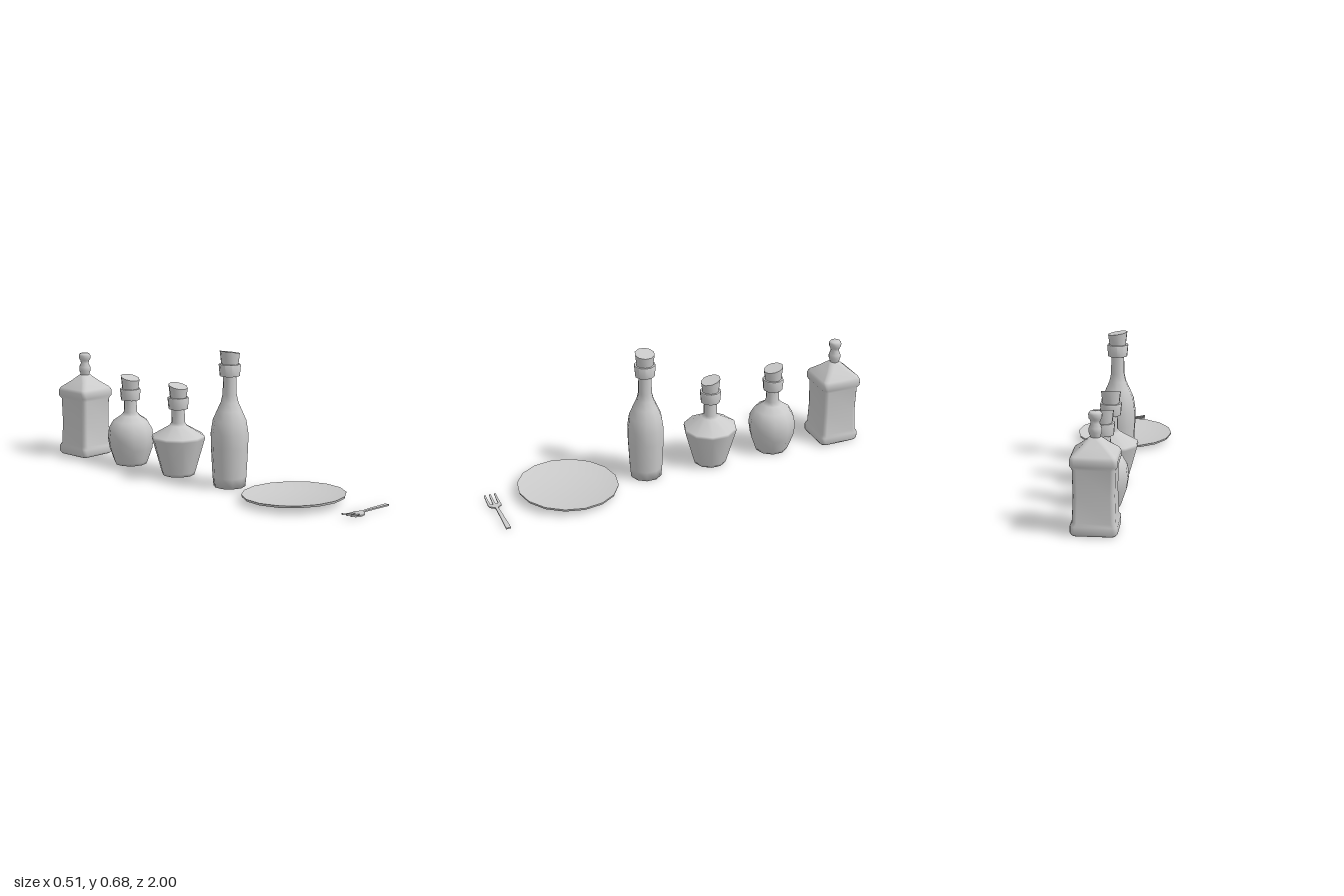
import * as THREE from 'three';
import { mergeVertices, toCreasedNormals } from 'three/addons/utils/BufferGeometryUtils.js';

const grey = new THREE.MeshStandardMaterial({ color: 0xcccccc });

function mesh(name, geometry) {
  const m = new THREE.Mesh(geometry, grey);
  m.name = name;
  return m;
}

// Profile points are [radius, height], from the bottom up.
function lathe(profile, sides = 10) {
  return new THREE.LatheGeometry(profile.map(([r, y]) => new THREE.Vector2(r, y)), sides);
}

// Round bottle with a collar and a cork whose top is cut at a slant.
function corkedBottle(name, z, profile, collarY, slantX, slantZ) {
  const bottle = new THREE.Group();
  bottle.name = name;
  bottle.position.z = z;
  bottle.add(mesh('glassBody', lathe([[0, 0], ...profile, [0.033, collarY + 0.01]])));

  const collar = lathe([[0.03, 0], [0.05, 0], [0.055, 0.055], [0.053, 0.059], [0.036, 0.059]]);
  collar.translate(0, collarY, 0);
  bottle.add(mesh('collar', toCreasedNormals(collar, 0.8)));

  const cork = lathe([[0.039, 0.03], [0.05, 0.118], [0, 0.118]]);
  const p = cork.attributes.position;
  for (let i = 0; i < p.count; i++) {
    if (p.getY(i) > 0.1) p.setY(i, p.getY(i) + p.getX(i) * slantX + p.getZ(i) * slantZ);
  }
  cork.translate(0, collarY, 0);
  bottle.add(mesh('cork', toCreasedNormals(cork, 0.8)));
  return bottle;
}

// Lathe whose rings become rounded squares; the radius is the half width.
function squareLathe(profile) {
  const geo = lathe(profile, 16);
  const p = geo.attributes.position;
  for (let i = 0; i < p.count; i++) {
    const step = Math.floor(i / profile.length) % 16;
    const half = profile[i % profile.length][0];
    const round = Math.min(half, 0.022);
    const quarter = Math.floor(step / 4) * Math.PI / 2;
    const a = quarter + (step % 4) / 3 * Math.PI / 2;
    const d = (half - round) * Math.SQRT2;
    const c = quarter + Math.PI / 4;
    p.setX(i, d * Math.sin(c) + round * Math.sin(a));
    p.setZ(i, d * Math.cos(c) + round * Math.cos(a));
  }
  geo.deleteAttribute('normal');
  geo.deleteAttribute('uv');
  const merged = mergeVertices(geo);
  merged.computeVertexNormals();
  return merged;
}

function decanter() {
  const g = new THREE.Group();
  g.name = 'squareDecanter';
  g.position.z = -0.892;
  g.add(mesh('squareBody', squareLathe([
    [0, 0], [0.098, 0], [0.107, 0.012], [0.107, 0.045], [0.098, 0.06], [0.094, 0.18],
    [0.097, 0.305], [0.107, 0.322], [0.108, 0.35], [0.1, 0.366], [0.06, 0.4], [0.026, 0.434], [0, 0.436],
  ])));
  g.add(mesh('stopper', lathe([
    [0.022, 0.42], [0.024, 0.438], [0.031, 0.458], [0.03, 0.477], [0.021, 0.497],
    [0.024, 0.512], [0.031, 0.522], [0.032, 0.54], [0.026, 0.55], [0, 0.552],
  ])));
  return g;
}

function plate() {
  const geo = lathe([[0, 0], [0.165, 0], [0.25, 0.02], [0.253, 0.031], [0.155, 0.013], [0, 0.013]], 16);
  const m = mesh('plate', toCreasedNormals(geo, 0.4));
  m.position.set(0, 0.005, 0.587);
  m.rotation.x = -0.03;
  return m;
}

// Height of the fork's underside along its length.
const forkCurve = new THREE.SplineCurve([
  [-0.08, 0.013], [-0.045, 0.005], [-0.005, 0.001], [0.04, 0.005], [0.1, 0.005], [0.23, 0.001],
].map(([x, y]) => new THREE.Vector2(x, y)));

function forkHeight(x) {
  let lo = 0, hi = 1;
  for (let i = 0; i < 20; i++) {
    const mid = (lo + hi) / 2;
    if (forkCurve.getPoint(mid).x < x) lo = mid; else hi = mid;
  }
  return forkCurve.getPoint(lo).y;
}

// Thin tapered bar that follows the fork's curve.
function forkBar(name, x0, x1, z, w0, w1) {
  const geo = new THREE.BoxGeometry(1, 0.007, 1, 6, 1, 1);
  const p = geo.attributes.position;
  for (let i = 0; i < p.count; i++) {
    const t = p.getX(i) + 0.5;
    const x = x0 + (x1 - x0) * t;
    p.setXYZ(i, x, p.getY(i) + 0.0035 + forkHeight(x), z + p.getZ(i) * (w0 + (w1 - w0) * t));
  }
  return mesh(name, toCreasedNormals(geo, 0.6));
}

function fork() {
  const g = new THREE.Group();
  g.name = 'fork';
  g.position.z = 0.967;
  for (const z of [-0.026, 0, 0.026]) g.add(forkBar('tine', -0.08, 0.002, z, 0.008, 0.013));
  g.add(forkBar('forkHead', -0.002, 0.018, 0, 0.065, 0.06));
  g.add(forkBar('forkShoulder', 0.018, 0.04, 0, 0.06, 0.015));
  g.add(forkBar('forkHandle', 0.036, 0.232, 0, 0.014, 0.024));
  return g;
}

export function createModel() {
  const model = new THREE.Group();
  model.name = 'tableware';
  model.add(
    fork(),
    plate(),
    corkedBottle('tallBottle', 0.168, [
      [0.08, 0], [0.085, 0.05], [0.093, 0.2], [0.094, 0.27], [0.084, 0.335],
      [0.062, 0.385], [0.044, 0.425], [0.035, 0.465],
    ], 0.557, -0.16, 0),
    corkedBottle('wideBottle', -0.187, [
      [0.083, 0], [0.088, 0.015], [0.138, 0.19], [0.136, 0.204], [0.045, 0.257], [0.035, 0.272],
    ], 0.343, 0, -0.26),
    corkedBottle('roundBottle', -0.539, [
      [0.083, 0], [0.09, 0.015], [0.115, 0.085], [0.123, 0.14], [0.116, 0.19],
      [0.092, 0.231], [0.05, 0.26], [0.035, 0.278],
    ], 0.343, 0, -0.26),
    decanter(),
  );
  return model;
}
